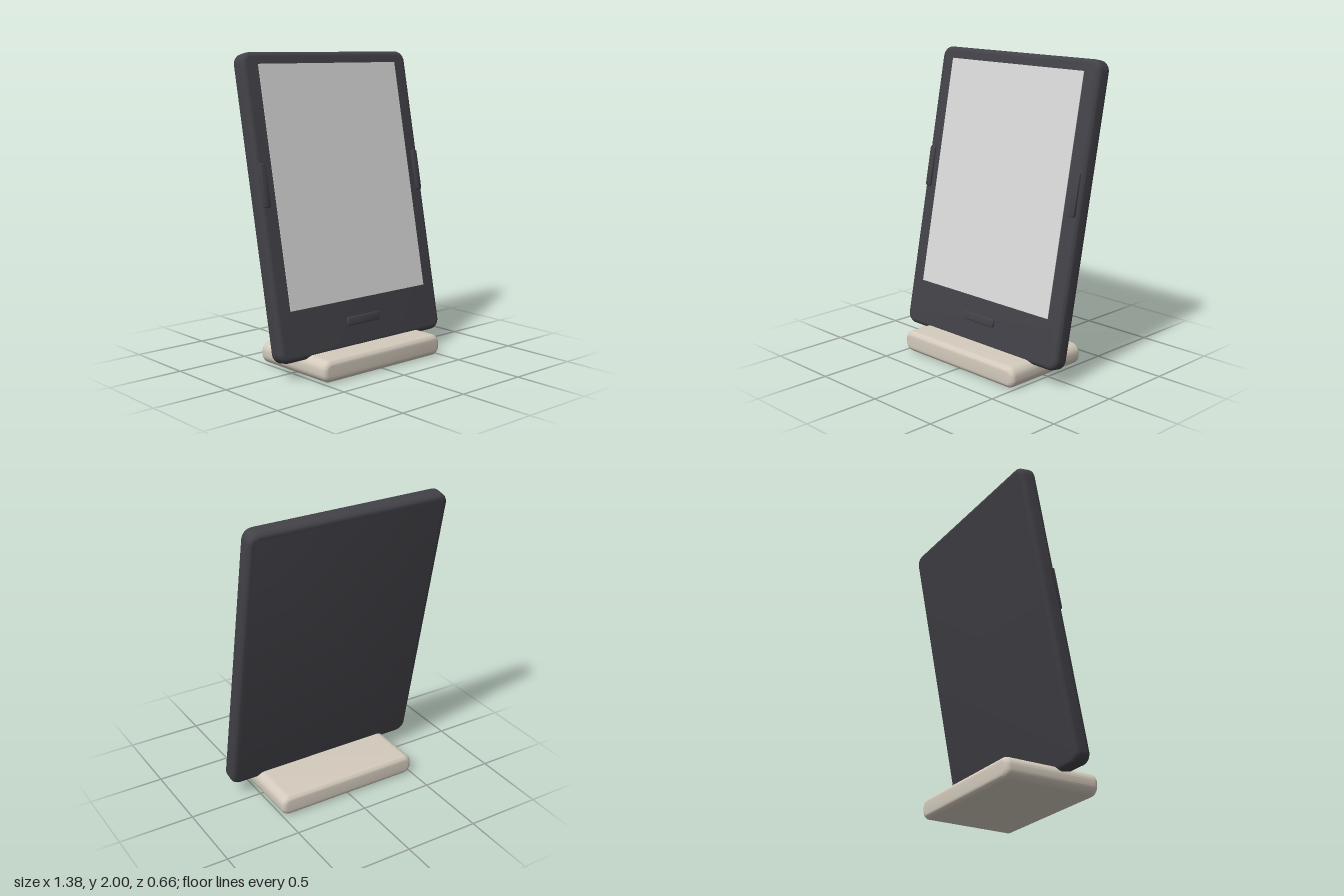
import * as THREE from 'three';
import { toCreasedNormals } from 'three/addons/utils/BufferGeometryUtils.js';

const material = (name, color) => {
  const m = new THREE.MeshStandardMaterial({ color });
  m.name = name;
  return m;
};

// Rounded slab centred on the origin: corner radius r in x-y, rounded front and back rims of size b
function slab(w, h, d, r, b) {
  const x = w / 2 - b, y = h / 2 - b, c = r - b;
  const s = new THREE.Shape();
  s.absarc(x - c, y - c, c, 0, Math.PI / 2);
  s.absarc(-x + c, y - c, c, Math.PI / 2, Math.PI);
  s.absarc(-x + c, -y + c, c, Math.PI, Math.PI * 1.5);
  s.absarc(x - c, -y + c, c, Math.PI * 1.5, Math.PI * 2);
  const g = new THREE.ExtrudeGeometry(s, {
    depth: d - 2 * b, bevelSize: b, bevelThickness: b, bevelSegments: 6, curveSegments: 8,
  });
  g.translate(0, 0, -d / 2 + b);
  return toCreasedNormals(g, 0.6);
}

export function createModel() {
  const casing = material('charcoal casing', 0x424147);
  const paper = material('pale grey screen', 0xd8d8d8);
  const stone = material('warm beige stand', 0xd3cabc);

  const model = new THREE.Group();
  model.name = 'readerOnStand';
  const add = (parent, name, geometry, mat, x, y, z) => {
    const mesh = new THREE.Mesh(geometry, mat);
    mesh.name = name;
    mesh.position.set(x, y, z);
    parent.add(mesh);
  };

  // Stand
  add(model, 'stand', slab(1.01, 0.14, 0.645, 0.06, 0.035), stone, 0, 0.07, 0.007);

  // Tablet, leaning back
  const tablet = new THREE.Group();
  tablet.name = 'tablet';
  tablet.position.set(0, 1.05, -0.09);
  tablet.rotation.x = -0.197;
  model.add(tablet);

  const depth = 0.115, front = depth / 2;
  add(tablet, 'casing', slab(1.38, 1.92, depth, 0.07, 0.032), casing, 0, 0, 0);
  add(tablet, 'screen', new THREE.BoxGeometry(1.155, 1.53, 0.006), paper, 0, 0.117, front);

  // Page buttons on both sides and a home button below the screen
  for (const [name, side] of [['leftPageButton', 1], ['rightPageButton', -1]]) {
    add(tablet, name, slab(0.046, 0.275, 0.028, 0.014, 0.007), casing, side * 0.648, 0.137, front);
  }
  add(tablet, 'homeButton', slab(0.275, 0.056, 0.028, 0.016, 0.007), casing, 0, -0.784, front);

  return model;
}
